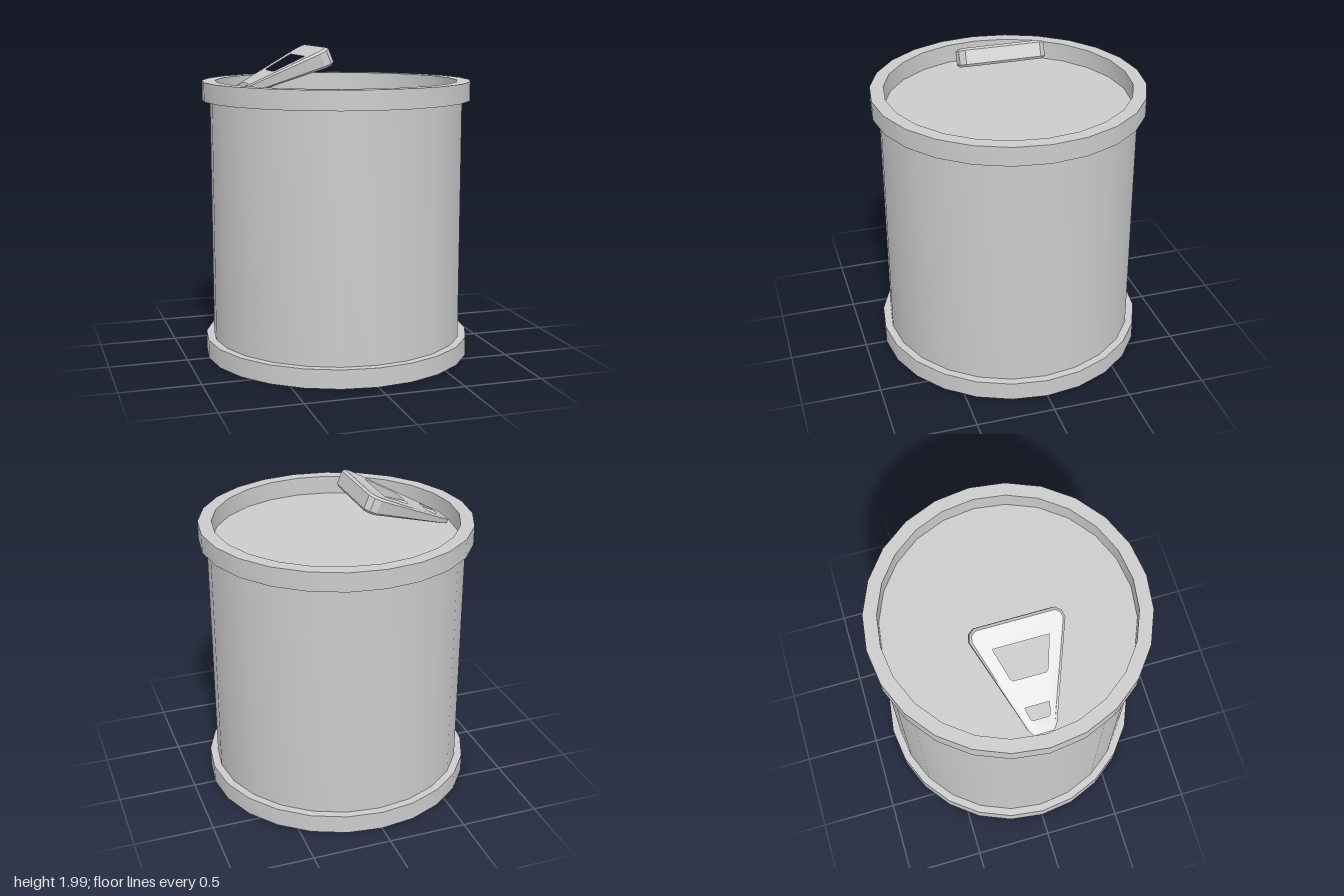
import * as THREE from 'three';
import { toCreasedNormals } from 'three/addons/utils/BufferGeometryUtils.js';

const material = new THREE.MeshStandardMaterial({ color: 0xcccccc });
const v2 = (x, y) => new THREE.Vector2(x, y);

// Shape or hole symmetric about the long axis, from one side's points [along, half-width]
function mirrored(points, Type) {
  const other = points.map(([s, v]) => [s, -v]).reverse();
  return new Type([...points, ...other].map(([s, v]) => v2(s, v)));
}

// Can wall, both rims, recessed lid and domed underside as one turned profile
function makeCan() {
  const dome = [];
  for (let i = 0; i <= 6; i++) {
    const a = (i / 6) * Math.PI / 2;
    dome.push(v2(0.735 * Math.sin(a * 0.6) / Math.sin(Math.PI * 0.3),
      0.18 * (Math.cos(a * 0.6) - Math.cos(Math.PI * 0.3)) / (1 - Math.cos(Math.PI * 0.3))));
  }
  const profile = [
    ...dome,
    v2(0.86, 0), v2(0.86, 0.12), v2(0.81, 0.12),
    v2(0.81, 1.655), v2(0.86, 1.655), v2(0.86, 1.775),
    v2(0.775, 1.775), v2(0.775, 1.655), v2(0, 1.655),
  ];
  const mesh = new THREE.Mesh(toCreasedNormals(new THREE.LatheGeometry(profile, 24), 0.4), material);
  mesh.name = 'canBody';
  return mesh;
}

// Wedge-shaped pull tab with two openings, tilted up from the lid
function makePullTab() {
  const length = 0.615;
  const shape = mirrored([[0, 0.06], [0.03, 0.085], [0.55, 0.285], [0.59, 0.275], [0.615, 0.24]], THREE.Shape);
  shape.holes.push(
    mirrored([[0.065, 0.055], [0.08, 0.07], [0.165, 0.09]], THREE.Path),
    mirrored([[0.29, 0.105], [0.31, 0.125], [0.5, 0.185]], THREE.Path),
  );
  const geometry = new THREE.ExtrudeGeometry(shape, {
    depth: 0.74, bevelEnabled: true, bevelSegments: 1,
    bevelThickness: 0.13, bevelSize: 0.014, bevelOffset: -0.014,
  });
  // Blend each point between the sloping lower and upper faces
  const lerp = THREE.MathUtils.lerp;
  const p = geometry.attributes.position;
  for (let i = 0; i < p.count; i++) {
    const u = p.getX(i) / length, t = p.getZ(i) + 0.13;
    const x = lerp(lerp(-0.73, -0.085, u), lerp(-0.745, -0.13, u), t);
    const y = lerp(lerp(1.657, 1.89, u), lerp(1.69, 2.0, u), t);
    p.setXYZ(i, x, y, -p.getY(i));
  }
  const mesh = new THREE.Mesh(toCreasedNormals(geometry, 0.4), material);
  mesh.name = 'pullTab';
  return mesh;
}

export function createModel() {
  const group = new THREE.Group();
  group.name = 'tinCan';
  group.add(makeCan(), makePullTab());
  return group;
}
